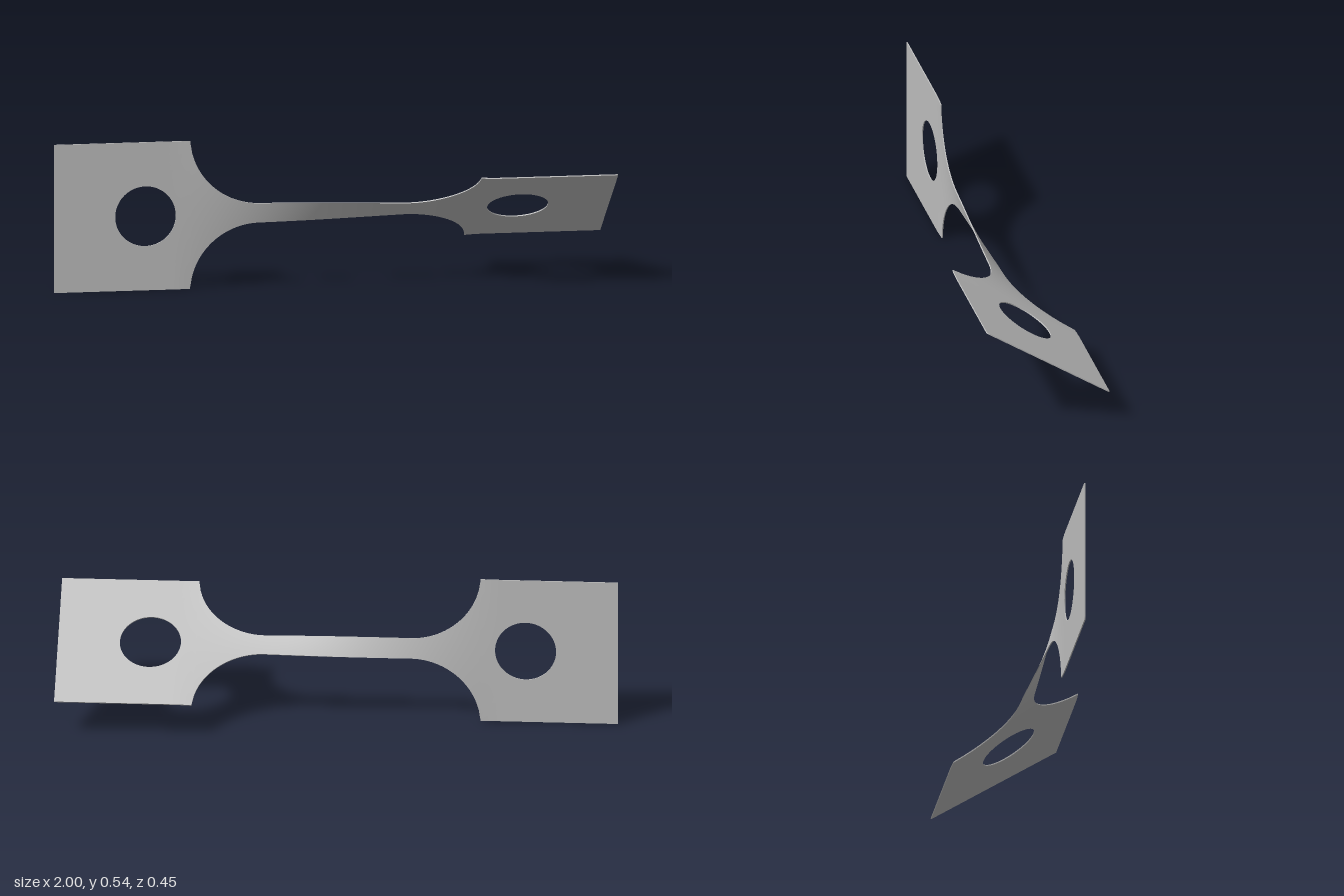
import * as THREE from 'three';
import { mergeGeometries } from 'three/addons/utils/BufferGeometryUtils.js';

const HALF = 0.27;        // half width of the end plates
const MID_Y = 0.272;      // height of the long axis
const THICK = 0.004;
const TWIST = THREE.MathUtils.degToRad(56.7);
const SHOULDER = 0.509;   // where plates meet the neck
const FILLET = { x: 0.26, y: 0.287, r: 0.25 };

// Wraps a flat point (x, h) around the long axis; side is +1 front, -1 back
function twisted(x, h, side) {
  const a = TWIST * THREE.MathUtils.smoothstep(x, -0.58, 0.58);
  const n = side * THICK / 2;
  return [x, MID_Y + h * Math.cos(a) - n * Math.sin(a), h * Math.sin(a) + n * Math.cos(a)];
}

// Smooth grid surface from a function of (u, v)
function patch(f, nu, nv) {
  const pos = [], index = [];
  for (let i = 0; i <= nu; i++) {
    for (let j = 0; j <= nv; j++) {
      pos.push(...f(i / nu, j / nv));
      if (i < nu && j < nv) {
        const a = i * (nv + 1) + j, b = a + nv + 1;
        index.push(a, b, b + 1, a, b + 1, a + 1);
      }
    }
  }
  const g = new THREE.BufferGeometry();
  g.setAttribute('position', new THREE.Float32BufferAttribute(pos, 3));
  g.setIndex(index);
  g.computeVertexNormals();
  return g;
}

// Thin twisted sheet: front, back and the two long rims
function sheet(flat, nu, nv) {
  const p = (u, v, side) => twisted(...flat(u, v), side);
  return mergeGeometries([
    patch((u, v) => p(u, v, 1), nu, nv),
    patch((u, v) => p(1 - u, v, -1), nu, nv),
    patch((u, s) => p(u, 1, 1 - 2 * s), nu, 1),
    patch((u, s) => p(u, 0, 2 * s - 1), nu, 1),
  ]);
}

// Neck outline: slim bar with round fillets into the plates
function neckFlat(u, v) {
  const x = (2 * u - 1) * SHOULDER;
  const d = Math.max(0, Math.abs(x) - FILLET.x);
  const w = Math.min(HALF, FILLET.y - Math.sqrt(Math.max(0, FILLET.r ** 2 - d * d)));
  return [x, (2 * v - 1) * w];
}

// End plate outline: ring between a round hole and a rectangle
function plateFlat(x0, x1, holeX) {
  const corners = [[x0, HALF], [x1, HALF], [x1, -HALF], [x0, -HALF]];
  return (u, v) => {
    const k = Math.floor(u * 4), t = u * 4 - k;
    const a = corners[k % 4], b = corners[(k + 1) % 4];
    const x = a[0] + (b[0] - a[0]) * t, y = a[1] + (b[1] - a[1]) * t;
    const s = 0.109 / Math.hypot(x - holeX, y);
    const hx = holeX + (x - holeX) * s, hy = y * s;
    return [hx + (x - hx) * v, hy + (y - hy) * v];
  };
}

export function createModel() {
  const group = new THREE.Group();
  group.name = 'twistedTestStrip';
  const metal = new THREE.MeshStandardMaterial({ color: 0xbfbfbf });
  metal.name = 'plain grey';

  const add = (name, geometry) => {
    const mesh = new THREE.Mesh(geometry, metal);
    mesh.name = name;
    group.add(mesh);
  };
  add('neck', sheet(neckFlat, 160, 8));
  add('rightEndPlate', sheet(plateFlat(-1, -SHOULDER, -0.67), 128, 6));
  add('leftEndPlate', sheet(plateFlat(SHOULDER, 1, 0.67), 128, 6));
  return group;
}
